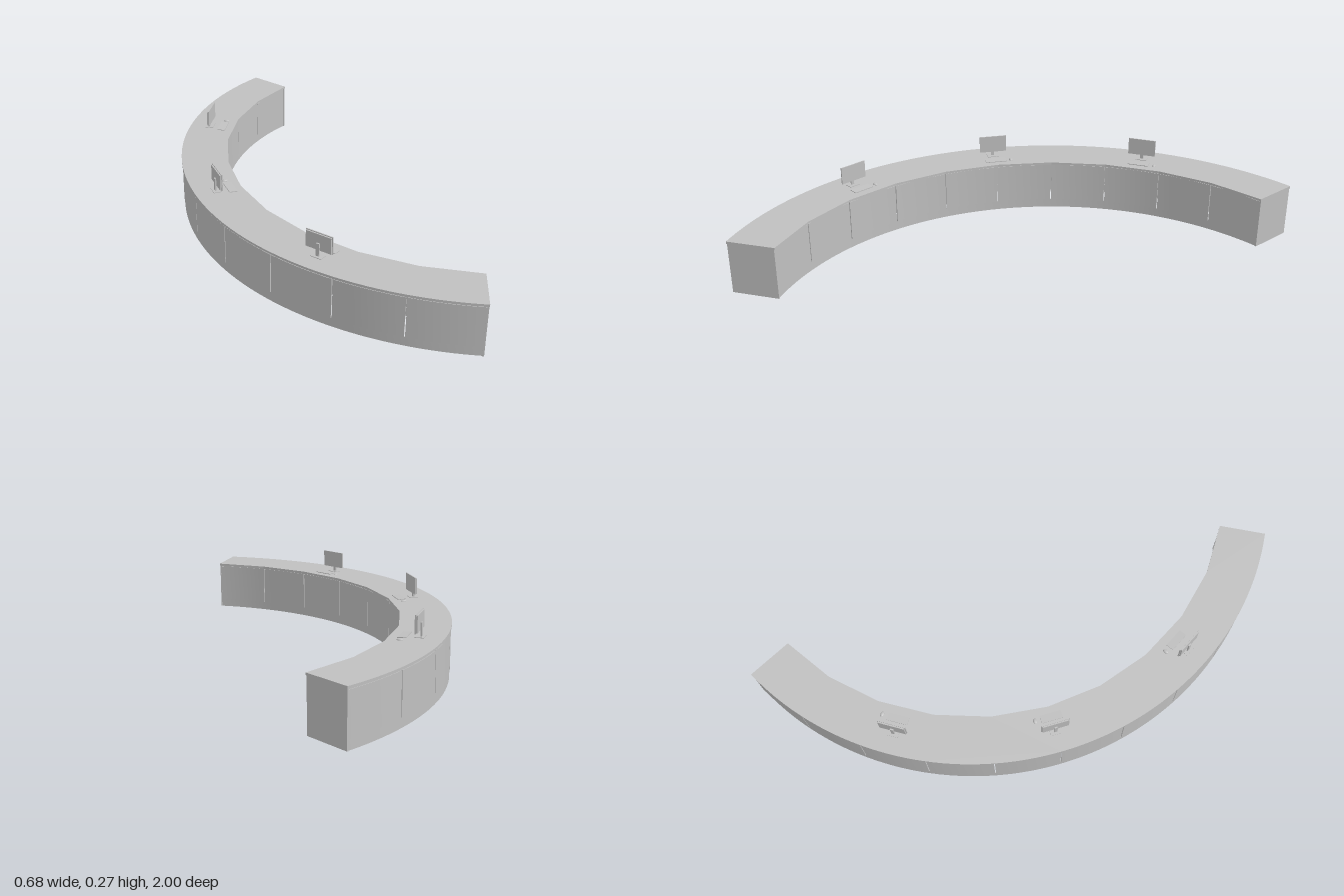
import * as THREE from 'three';
import { toCreasedNormals } from 'three/addons/utils/BufferGeometryUtils.js';

const CX = 0.79;             // arc centre on x
const HALF = 1.083;          // half sweep of the arc, radians
const PANELS = 10;

const grey = new THREE.MeshStandardMaterial({ color: 0xc0c0c0, side: THREE.DoubleSide });
grey.name = 'light grey';

function add(parent, name, geometry, x = 0, y = 0, z = 0) {
  const mesh = new THREE.Mesh(geometry, grey);
  mesh.name = name;
  mesh.position.set(x, y, z);
  parent.add(mesh);
  return mesh;
}

// Solid slice of a ring between two radii, two angles (from -x) and two heights
function sector(r0, r1, a0, a1, y0, y1, outerSegs, innerSegs = outerSegs) {
  const pts = [];
  const arc = (r, from, to, n) => {
    for (let i = 0; i <= n; i++) {
      const a = from + ((to - from) * i) / n;
      pts.push(new THREE.Vector2(CX - r * Math.cos(a), -r * Math.sin(a)));
    }
  };
  arc(r1, a0, a1, outerSegs);
  arc(r0, a1, a0, innerSegs);
  const g = new THREE.ExtrudeGeometry(new THREE.Shape(pts), { depth: y1 - y0, bevelEnabled: false });
  g.rotateX(-Math.PI / 2);
  g.translate(0, y0, 0);
  return toCreasedNormals(g, 0.15);
}

// Screen, stand, keyboard and mouse; local +x faces the seat
function workstation(angle) {
  const g = new THREE.Group();
  g.name = 'workstation';
  const r = 1.048;
  g.position.set(CX - r * Math.cos(angle), 0.19, r * Math.sin(angle));
  g.rotation.y = angle;
  add(g, 'screenBack', new THREE.BoxGeometry(0.005, 0.058, 0.098), -0.002, 0.051, 0);
  add(g, 'screen', new THREE.BoxGeometry(0.004, 0.063, 0.104), 0.0025, 0.0515, 0);
  add(g, 'standStem', new THREE.BoxGeometry(0.005, 0.047, 0.012), -0.007, 0.0245, 0);
  add(g, 'standBase', new THREE.BoxGeometry(0.03, 0.002, 0.042), -0.004, 0.001, 0);
  const keyboard = add(g, 'keyboard', new THREE.BoxGeometry(0.03, 0.0025, 0.078), 0.049, 0.0022, 0);
  keyboard.rotation.z = -0.06;
  const mouse = new THREE.SphereGeometry(1, 16, 6, 0, Math.PI * 2, 0, Math.PI / 2);
  mouse.scale(0.011, 0.005, 0.007);
  add(g, 'mouse', mouse, 0.05, 0, -0.06);
  return g;
}

export function createModel() {
  const model = new THREE.Group();
  model.name = 'curvedDesk';
  const body = HALF - 0.002;
  const t = 0.005;           // wall thickness

  // Countertop: smooth outer edge, straight runs on the inner edge
  add(model, 'countertop', sector(0.958, 1.132, -HALF, HALF, 0.182, 0.19, 80, PANELS));

  // Plinths and top rails, slightly behind the panels
  for (const [name, y0, y1] of [['plinth', 0, 0.033], ['topRail', 0.178, 0.182]]) {
    add(model, name + 'Outer', sector(1.127 - t, 1.127, -body, body, y0, y1, 80));
    add(model, name + 'Inner', sector(0.963, 0.963 + t, -body, body, y0, y1, 80));
  }

  // Wall panels with narrow seams
  const step = (2 * body) / PANELS;
  for (let i = 0; i < PANELS; i++) {
    const a0 = -body + i * step + (i > 0 ? 0.0016 : 0);
    const a1 = -body + (i + 1) * step - (i < PANELS - 1 ? 0.0016 : 0);
    add(model, 'outerPanel', sector(1.129 - t, 1.129, a0, a1, 0.033, 0.178, 8));
    add(model, 'innerPanel', sector(0.961, 0.961 + t, a0, a1, 0.033, 0.178, 8));
  }

  // End walls closing both ends; the underside stays open
  for (const s of [-1, 1]) {
    add(model, 'endWall', sector(0.9605, 1.1295, s * (HALF - 0.006), s * (HALF - 0.001), 0, 0.182, 1));
  }

  for (const a of [-0.557, 0, 0.557]) model.add(workstation(a));
  return model;
}
